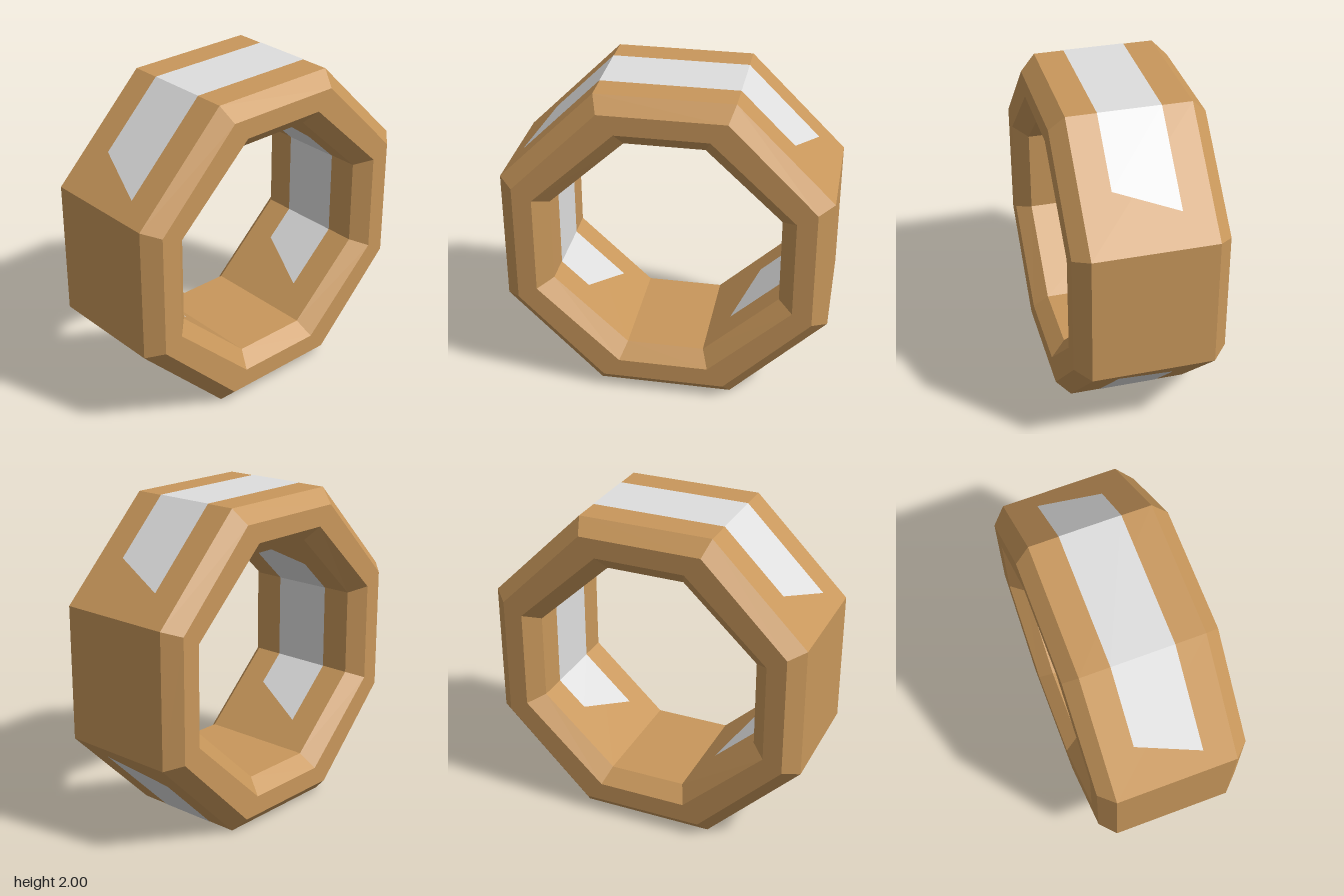
import * as THREE from 'three';

const wood = new THREE.MeshStandardMaterial({ color: 0xc8975b });
wood.name = 'wood';
const paleGrey = new THREE.MeshStandardMaterial({ color: 0xdedede });
paleGrey.name = 'paleGrey';

// Skin consecutive loops of points with flat quads
function skin(loops, closed) {
  const pos = [];
  const rows = closed ? loops.length : loops.length - 1;
  for (let j = 0; j < rows; j++) {
    const a = loops[j], b = loops[(j + 1) % loops.length];
    const count = closed ? a.length : a.length - 1;
    for (let k = 0; k < count; k++) {
      const n = (k + 1) % a.length;
      pos.push(...a[k], ...b[k], ...b[n], ...a[k], ...b[n], ...a[n]);
    }
  }
  const geo = new THREE.BufferGeometry();
  geo.setAttribute('position', new THREE.Float32BufferAttribute(pos, 3));
  geo.computeVertexNormals();
  return geo;
}

// Octagon: distance to flats, half length of the top flat, half length of the side flat
function octagon(r, top, side, z) {
  return [[r, -side], [r, side], [top, r], [-top, r], [-r, side], [-r, -side], [-top, -r], [top, -r]]
    .map(([x, y]) => [x, y, z]);
}

// Thin band lying on the ring; front and back edges have slanted ends
function band(front, back, lift) {
  const edge = (pts, z) => pts.map(([x, y]) => [x * lift, y * lift, z]);
  return skin([edge(front, 0.188), edge(back, -0.188)], false);
}

export function createModel() {
  const group = new THREE.Group();
  const add = (name, geo, mat) => {
    const mesh = new THREE.Mesh(geo, mat);
    mesh.name = name;
    mesh.position.y = 1;
    group.add(mesh);
    return mesh;
  };

  // Chamfered octagonal ring
  const ring = skin([
    octagon(1, 0.414, 0.414, 0.37), octagon(1, 0.414, 0.414, -0.37),
    octagon(0.91, 0.38, 0.38, -0.46), octagon(0.79, 0.28, 0.31, -0.46),
    octagon(0.70, 0.24, 0.27, -0.37), octagon(0.70, 0.24, 0.27, 0.37),
    octagon(0.79, 0.28, 0.31, 0.46), octagon(0.91, 0.38, 0.38, 0.46),
  ], true);
  add('octagonalRing', ring, wood);

  // Outer bands over the top and bottom
  const outer = band(
    [[0.735, 0.679], [0.414, 1], [-0.414, 1], [-0.905, 0.509]],
    [[0.85, 0.564], [0.414, 1], [-0.414, 1], [-0.78, 0.634]], 1.002);
  add('topOuterBand', outer, paleGrey);
  add('bottomOuterBand', outer, paleGrey).rotation.z = Math.PI;

  // Inner bands along the right and left walls
  const inner = band(
    [[-0.53, -0.429], [-0.70, -0.27], [-0.70, 0.27], [-0.34, 0.607]],
    [[-0.385, -0.564], [-0.70, -0.27], [-0.70, 0.27], [-0.485, 0.471]], 0.997);
  add('rightInnerBand', inner, paleGrey);
  add('leftInnerBand', inner, paleGrey).rotation.y = Math.PI;

  return group;
}
